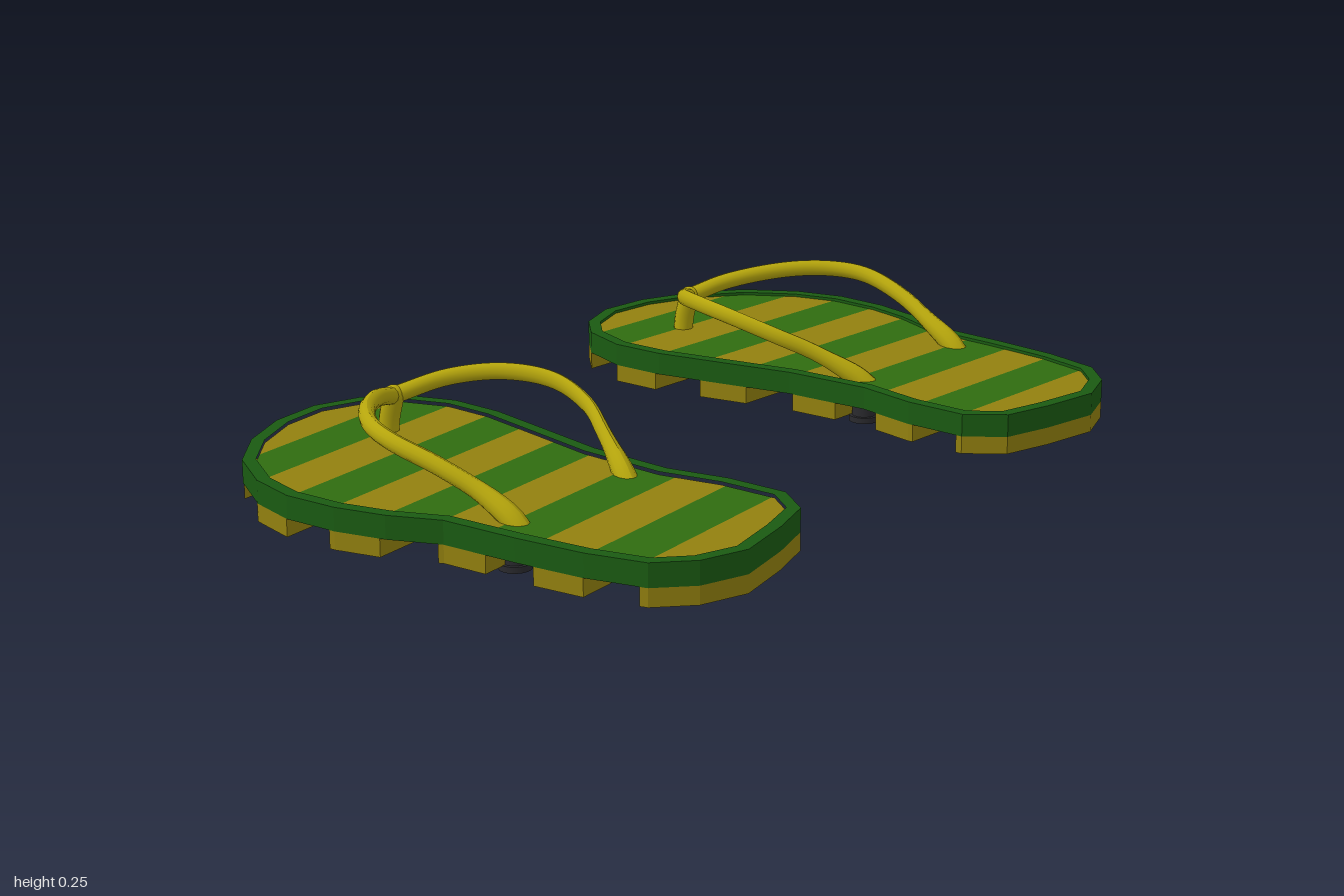
import * as THREE from 'three';

const mat = (color) => new THREE.MeshStandardMaterial({ color });
const RIM = mat(0x1a5a12), GREEN = mat(0x2f6c10), YELLOW = mat(0x92800f), STRAP = mat(0xb5a50c), PLUG = mat(0x2a2a2e);

// Sole outline as [x, z] points, heel at +x, toes at -x
const OUTLINE = [
  [0.685, -0.645], [0.65, -0.755], [0.58, -0.83], [0.447, -0.868], [0.283, -0.89], [0.10, -0.905],
  [-0.013, -0.958], [-0.13, -0.99], [-0.26, -1.0], [-0.38, -0.972], [-0.505, -0.90], [-0.595, -0.79],
  [-0.654, -0.66], [-0.67, -0.53], [-0.633, -0.415], [-0.564, -0.34], [-0.447, -0.295], [-0.315, -0.295],
  [-0.146, -0.325], [0.03, -0.357], [0.24, -0.362], [0.384, -0.33], [0.532, -0.325], [0.617, -0.385], [0.654, -0.50],
];
const BOTTOM = 0.013, BASE = 0.054, FLOOR = 0.1, TOP = 0.107;
const STRIPE_START = -0.535, STRIPE_STEP = 0.12, STRIPE_SLANT = 0.09, STRIPES = 11;

// Shrink a closed outline by moving each corner along its averaged inward normal
function inset(points, d) {
  const n = points.length;
  return points.map(([x, z], i) => {
    const a = points[(i + n - 1) % n], b = points[(i + 1) % n];
    const dx = b[0] - a[0], dz = b[1] - a[1], len = Math.hypot(dx, dz);
    return [x + (dz / len) * d, z - (dx / len) * d];
  });
}

// Keep the part of a polygon on one side of a slanted stripe edge
function clip(points, edge, sign) {
  const dist = ([x, z]) => sign * (x + STRIPE_SLANT * (z + 0.645) - edge);
  const out = [];
  points.forEach((p, i) => {
    const q = points[(i + 1) % points.length], dp = dist(p), dq = dist(q);
    if (dp >= 0) out.push(p);
    if (dp * dq < 0) {
      const t = dp / (dp - dq);
      out.push([p[0] + (q[0] - p[0]) * t, p[1] + (q[1] - p[1]) * t]);
    }
  });
  return out;
}

function stripe(points, k) {
  let out = points;
  if (k > 0) out = clip(out, STRIPE_START + (k - 1) * STRIPE_STEP, 1);
  if (k < STRIPES - 1) out = clip(out, STRIPE_START + k * STRIPE_STEP, -1);
  return out;
}

// Upright prism over a ground outline
function slab(points, y0, y1, hole) {
  const v = (pts) => pts.map(([x, z]) => new THREE.Vector2(x, -z));
  const shape = new THREE.Shape(v(points));
  if (hole) shape.holes.push(new THREE.Path(v(hole)));
  const geo = new THREE.ExtrudeGeometry(shape, { depth: y1 - y0, bevelEnabled: false });
  return geo.rotateX(-Math.PI / 2).translate(0, y0, 0);
}

// Tube that swells at its heel end and can be narrowed sideways in the middle
function strapTube(points, radius, narrow) {
  const curve = new THREE.CatmullRomCurve3(points), steps = 48, sides = 12;
  const geo = new THREE.TubeGeometry(curve, steps, radius, sides);
  const pos = geo.attributes.position, v = new THREE.Vector3();
  for (let i = 0; i <= steps; i++) {
    const u = i / steps, c = curve.getPointAt(u);
    const swell = 1 + 0.3 * THREE.MathUtils.smoothstep(u, 0.8, 0.95);
    const side = 1 - narrow * Math.sin(Math.PI * u);
    for (let j = 0; j <= sides; j++) {
      const k = i * (sides + 1) + j;
      v.fromBufferAttribute(pos, k).sub(c).multiplyScalar(swell);
      pos.setXYZ(k, c.x + v.x * side, c.y + v.y, c.z + v.z * side);
    }
  }
  geo.computeVertexNormals();
  return geo;
}

// place maps sole coordinates [x, z] to their final position
function makeSandal(name, place) {
  const sandal = new THREE.Group();
  sandal.name = name;
  const add = (part, geo, material) => {
    const mesh = new THREE.Mesh(geo, material);
    mesh.name = part;
    sandal.add(mesh);
  };
  const spot = (x, y, z) => {
    const [px, pz] = place([x, z]);
    return new THREE.Vector3(px, y, pz);
  };
  const inner = inset(OUTLINE, 0.03);

  // Sole: rim, striped footbed and tread lugs under the yellow stripes
  add('rim', slab(OUTLINE.map(place), BASE, TOP, inner.map(place)), RIM);
  for (let k = 0; k < STRIPES; k++) {
    const yellow = k % 2 === 0;
    add('footbedStripe', slab(stripe(inner, k).map(place), BASE, FLOOR), yellow ? YELLOW : GREEN);
    if (yellow) add('treadLug', slab(stripe(OUTLINE, k).map(place), BOTTOM, BASE), YELLOW);
  }

  // Toe post
  const post = new THREE.CatmullRomCurve3([
    spot(-0.425, 0.08, -0.535), spot(-0.42, 0.13, -0.535), spot(-0.405, 0.185, -0.535),
  ]);
  add('toePost', new THREE.TubeGeometry(post, 10, 0.024, 12), STRAP);
  const knot = new THREE.SphereGeometry(0.024, 14, 10);
  knot.translate(...spot(-0.405, 0.185, -0.535).toArray());
  add('toePostKnot', knot, STRAP);

  // Straps from the toe post to both sides of the foot
  const outer = [
    [-0.405, 0.185, -0.54], [-0.36, 0.21, -0.63], [-0.26, 0.23, -0.76], [-0.17, 0.231, -0.83],
    [-0.087, 0.222, -0.855], [0.03, 0.19, -0.84], [0.13, 0.145, -0.815], [0.205, 0.1, -0.805], [0.225, 0.075, -0.803],
  ];
  const inside = [
    [-0.405, 0.185, -0.53], [-0.34, 0.215, -0.43], [-0.236, 0.231, -0.355], [-0.114, 0.225, -0.323],
    [0, 0.195, -0.342], [0.08, 0.16, -0.383], [0.18, 0.1, -0.433], [0.205, 0.075, -0.443],
  ];
  add('outerStrap', strapTube(outer.map((p) => spot(...p)), 0.02, 0.1), STRAP);
  add('innerStrap', strapTube(inside.map((p) => spot(...p)), 0.02, 0.35), STRAP);

  // Strap plugs showing under the sole
  for (const [x, z] of [[-0.42, -0.535], [0.205, -0.805], [0.19, -0.437]]) {
    const disc = new THREE.CylinderGeometry(0.036, 0.036, 0.014, 16);
    const stem = new THREE.CylinderGeometry(0.028, 0.028, 0.048, 16);
    add('plugDisc', disc.translate(...spot(x, 0.007, z).toArray()), PLUG);
    add('plugStem', stem.translate(...spot(x, 0.034, z).toArray()), PLUG);
  }
  return sandal;
}

export function createModel() {
  const model = new THREE.Group();
  model.name = 'sandals';
  model.add(makeSandal('backSandal', ([x, z]) => [x, z]));
  // Mirrored mate, turned slightly and set a little towards the toes
  const turn = 0.035;
  model.add(makeSandal('frontSandal', ([x, z]) => [
    x - 0.02 - turn * (-z - 0.645), -z + turn * x + 0.01,
  ]));
  return model;
}
